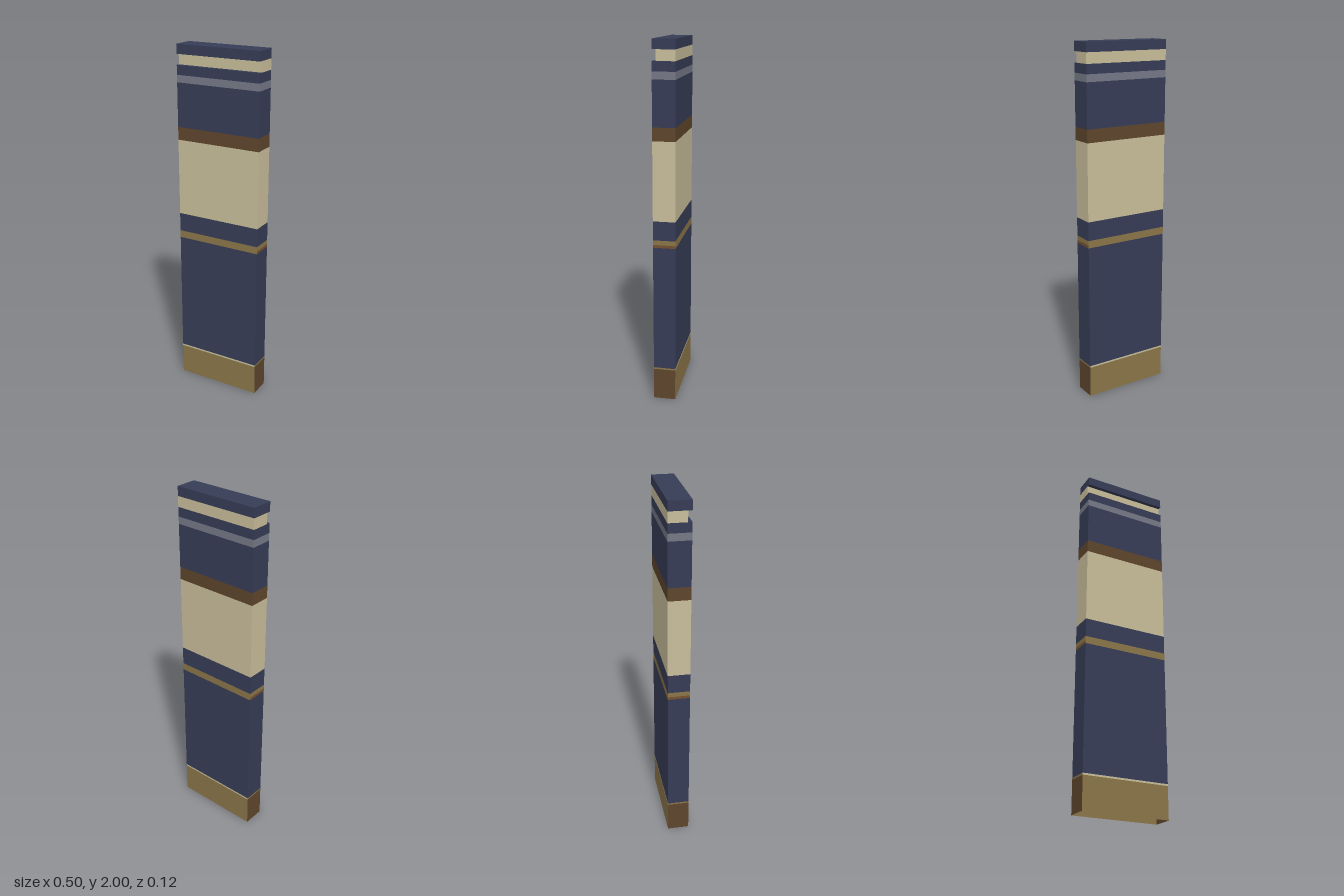
import * as THREE from 'three';

const W = 0.498, ZB = -0.0615, ZF = 0.0615, ZG = 0.04; // width, back, front, groove floor

const mat = (name, color) => new THREE.MeshStandardMaterial({ name, color, side: THREE.DoubleSide });

export function createModel() {
  const navy = mat('navy', 0x363c56);
  const cream = mat('cream', 0xc8bd9a);
  const brown = mat('brown', 0x5e452c);
  const tan = mat('tan', 0x8a7549);
  const grey = mat('grey', 0x757886);
  const bronze = mat('bronze', 0x755130);

  const model = new THREE.Group();
  model.name = 'bandedPanel';

  // One flat rectangle, turned to face its outward direction
  function face(parent, name, w, h, material, pos, rx = 0, ry = 0) {
    const geo = new THREE.PlaneGeometry(w, h).rotateX(rx).rotateY(ry).translate(...pos);
    const mesh = new THREE.Mesh(geo, material);
    mesh.name = name;
    parent.add(mesh);
  }

  // Front and back walls of a band
  function broadWalls(g, y0, y1, m, zf) {
    const h = y1 - y0, y = (y0 + y1) / 2;
    face(g, 'frontWall', W, h, m, [0, y, zf]);
    face(g, 'backWall', W, h, m, [0, y, ZB], 0, Math.PI);
  }

  // Left and right walls of a band
  function sideWalls(g, y0, y1, m, zf) {
    const h = y1 - y0, y = (y0 + y1) / 2, z = (zf + ZB) / 2;
    for (const s of [1, -1]) {
      face(g, s > 0 ? 'leftWall' : 'rightWall', zf - ZB, h, m, [s * W / 2, y, z], 0, s * Math.PI / 2);
    }
  }

  // Bands of the hollow shell: name, bottom, top, broad colour, side colour, front depth
  const bands = [
    ['base', 0, 0.18, tan, brown, ZF],
    ['baseLine', 0.18, 0.19, cream, tan, ZF],
    ['lowerBody', 0.19, 0.902, navy, navy, ZF],
    ['middleStripe', 0.902, 0.944, tan, null, ZF],
    ['waistBand', 0.944, 1.05, navy, navy, ZF],
    ['creamPanel', 1.05, 1.482, cream, cream, ZF],
    ['brownBand', 1.482, 1.554, brown, brown, ZF],
    ['upperBody', 1.554, 1.798, navy, navy, ZF],
    ['greyStripe', 1.798, 1.838, grey, grey, ZF],
    ['neckBand', 1.838, 1.89, navy, navy, ZF],
    ['groove', 1.89, 1.948, cream, cream, ZG],
    ['cap', 1.948, 2, navy, navy, ZF],
  ];
  for (const [name, y0, y1, broad, side, zf] of bands) {
    const g = new THREE.Group();
    g.name = name;
    broadWalls(g, y0, y1, broad, zf);
    if (side) sideWalls(g, y0, y1, side, zf);
    else { // two-tone stripe ends
      sideWalls(g, y0, 0.918, bronze, zf);
      sideWalls(g, 0.918, y1, tan, zf);
    }
    model.add(g);
  }

  // Top lid and the two ledges of the groove; the underside stays open
  face(model, 'topLid', W, ZF - ZB, navy, [0, 2, 0], -Math.PI / 2);
  const zl = (ZF + ZG) / 2;
  face(model, 'grooveLowerLedge', W, ZF - ZG, navy, [0, 1.89, zl], -Math.PI / 2);
  face(model, 'grooveUpperLedge', W, ZF - ZG, navy, [0, 1.948, zl], Math.PI / 2);

  return model;
}
